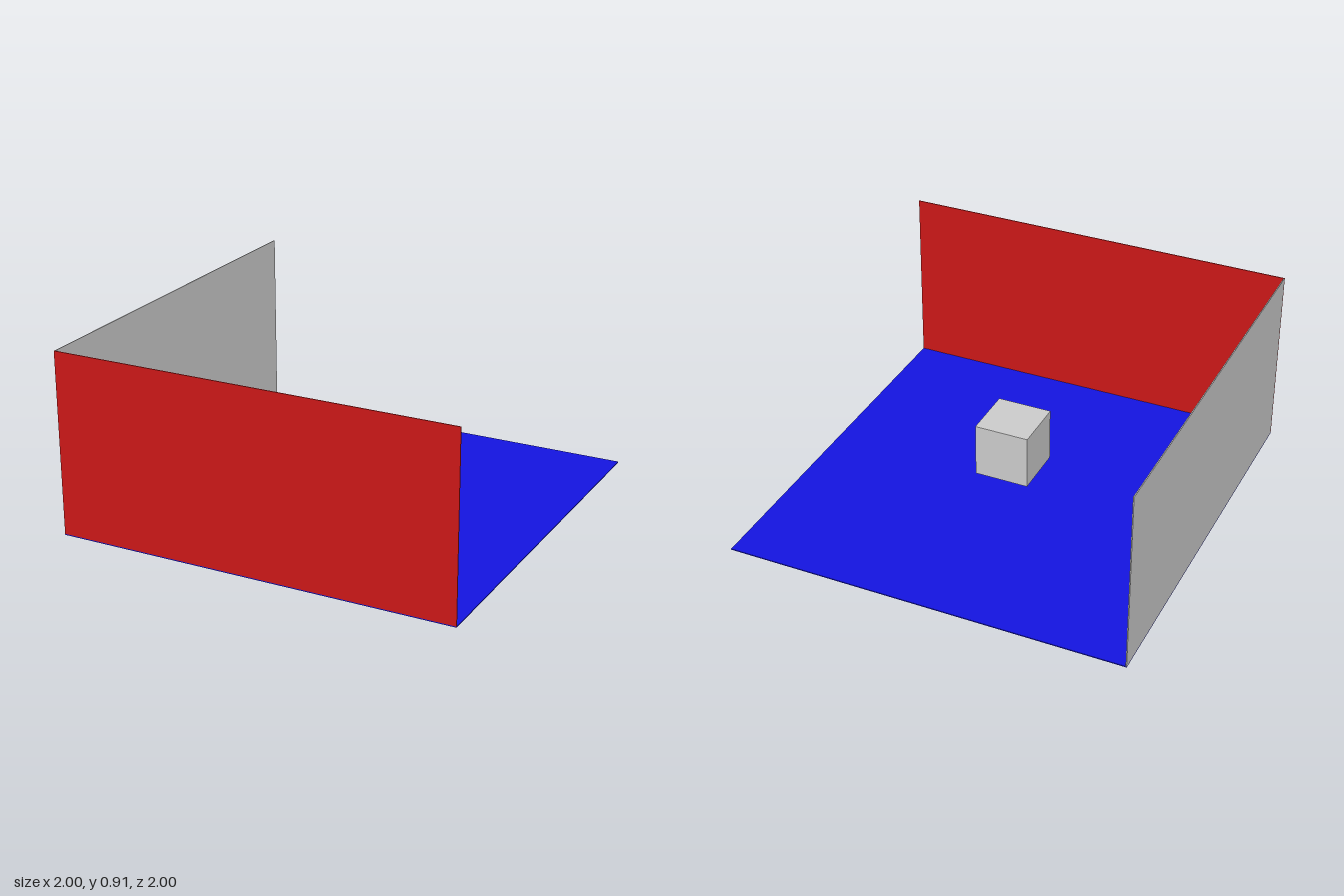
import * as THREE from 'three';

export function createModel() {
  const model = new THREE.Group();
  const t = 0.005; // panel thickness
  const h = 0.91;  // wall height

  const addBox = (name, color, size, position) => {
    const mesh = new THREE.Mesh(
      new THREE.BoxGeometry(...size),
      new THREE.MeshStandardMaterial({ color })
    );
    mesh.name = name;
    mesh.position.set(...position);
    model.add(mesh);
  };

  // Thin floor with two walls meeting at the front right corner
  addBox('floor', 0x1414e0, [2, t, 2], [0, t / 2, 0]);
  addBox('frontWall', 0xcc1818, [2, h - t, t], [0, (h + t) / 2, 1 - t / 2]);
  addBox('sideWall', 0xcccccc, [t, h - t, 2 - t], [-1 + t / 2, (h + t) / 2, -t / 2]);

  // Cube floating above the middle of the floor
  addBox('cube', 0xcccccc, [0.272, 0.272, 0.272], [0, 0.277, 0]);

  return model;
}
